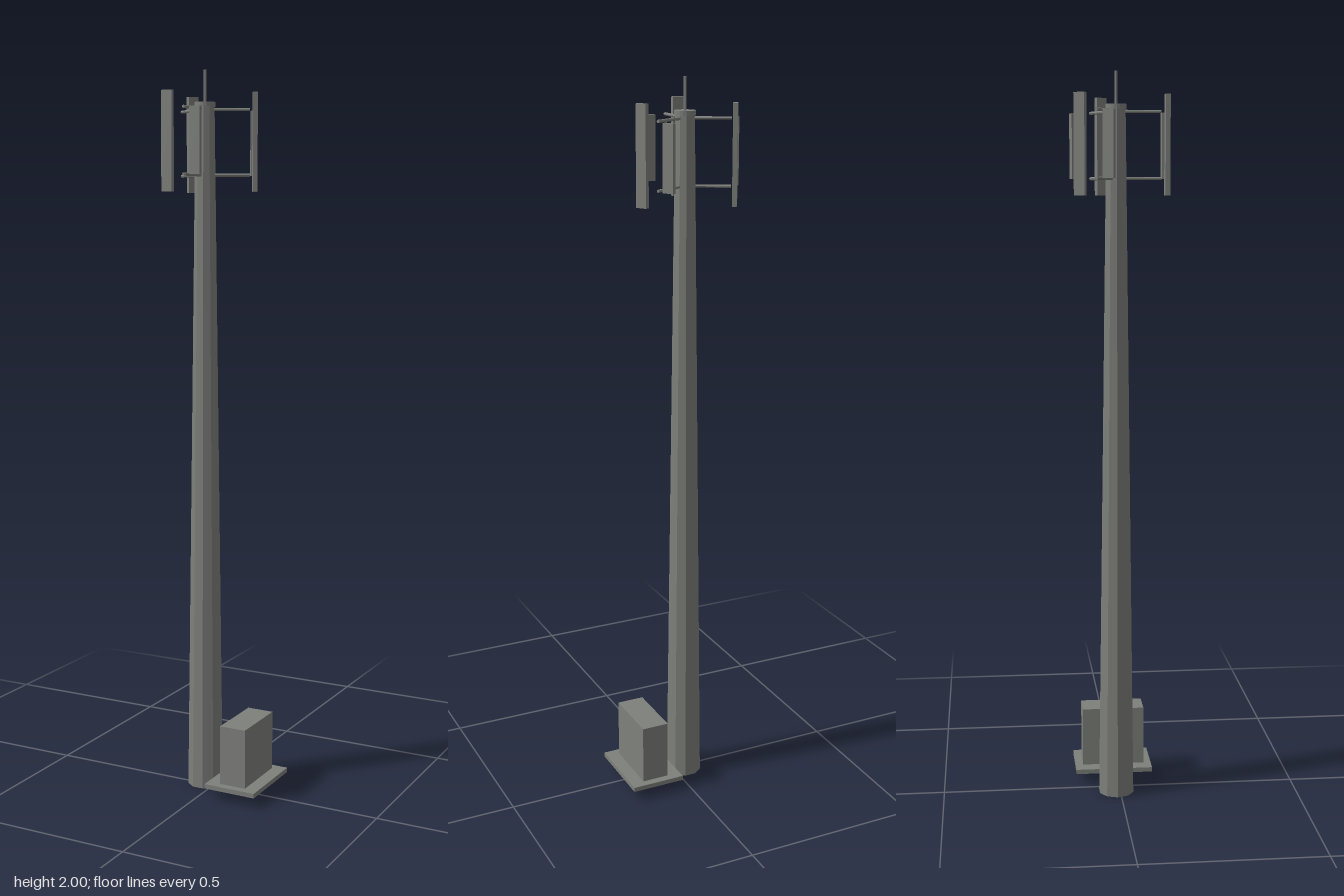
import * as THREE from 'three';

export function createModel() {
  const model = new THREE.Group();
  const grey = new THREE.MeshStandardMaterial({ name: 'weathered grey', color: 0x7e807b, flatShading: true });

  const add = (parent, name, geometry, x, y, z) => {
    const mesh = new THREE.Mesh(geometry, grey);
    mesh.name = name;
    mesh.position.set(x, y, z);
    parent.add(mesh);
    return mesh;
  };

  // Mast assembly, with its axis as the local origin
  const mast = new THREE.Group();
  mast.name = 'mast';
  mast.position.set(-0.031, 0, -0.011);
  model.add(mast);

  // Tapered ten-sided pole, round cap and lightning rod
  const pole = add(mast, 'pole', new THREE.CylinderGeometry(0.026, 0.05, 1.905, 10), 0, 0.9525, 0);
  pole.rotation.y = Math.PI / 10;
  add(mast, 'poleCap', new THREE.CylinderGeometry(0.028, 0.028, 0.012, 20), 0, 1.909, 0);
  add(mast, 'lightningRod', new THREE.CylinderGeometry(0.0045, 0.0045, 0.09, 8), 0, 1.955, 0);

  // Three antenna sectors: two arms, one tall panel and one short panel each
  const armGeometry = new THREE.CylinderGeometry(0.0042, 0.0042, 0.105, 8).rotateX(Math.PI / 2);
  const tallPanel = new THREE.BoxGeometry(0.031, 0.262, 0.0125);
  const shortPanel = new THREE.BoxGeometry(0.031, 0.174, 0.0125);
  for (let i = 0; i < 3; i++) {
    const sector = new THREE.Group();
    sector.name = 'antennaSector' + (i + 1);
    sector.rotation.y = i * Math.PI * 2 / 3;
    mast.add(sector);
    for (const y of [1.722, 1.896]) add(sector, 'supportArm', armGeometry, 0, y, 0.0685);
    add(sector, 'tallPanel', tallPanel, -0.0415, 1.808, 0.132);
    add(sector, 'shortPanel', shortPanel, 0.0415, 1.808, 0.132);
  }

  // Equipment cabinet on its slab
  add(model, 'slab', new THREE.BoxGeometry(0.153, 0.013, 0.219), 0.1005, 0.0365, -0.011);
  add(model, 'equipmentCabinet', new THREE.BoxGeometry(0.077, 0.168, 0.176), 0.1005, 0.127, -0.011);

  return model;
}
